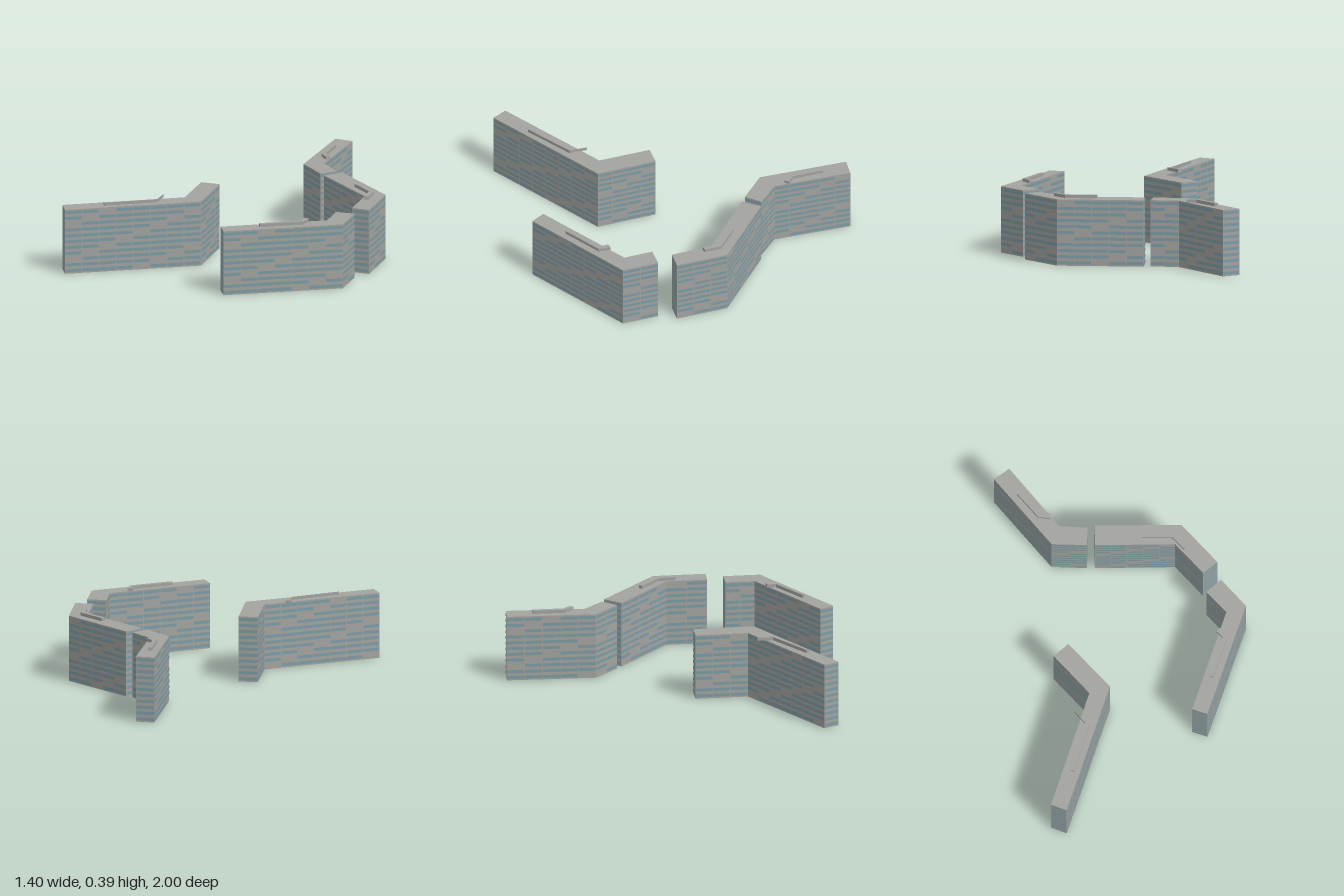
import * as THREE from 'three';
import { mergeGeometries } from 'three/addons/utils/BufferGeometryUtils.js';

const HEIGHT = 0.37, ROWS = 11, BAY = 0.095;

// Footprints as [x, z] corners of bent slabs, with the bent plant housing on each roof
const BLOCKS = [
  { name: 'backLeftBlock',
    plan: [[-0.37, -0.97], [-0.27, -1], [-0.12, -0.59], [0.025, -0.53], [-0.012, -0.435], [-0.195, -0.505]],
    roof: [[-0.28, -0.84], [-0.26, -0.85], [-0.195, -0.69], [-0.145, -0.67], [-0.155, -0.645], [-0.215, -0.675]] },
  { name: 'backRightBlock',
    plan: [[0.065, -0.53], [0.52, -0.375], [0.635, -0.105], [0.54, -0.07], [0.45, -0.28], [0.03, -0.42]],
    roof: [[0.29, -0.375], [0.30, -0.395], [0.465, -0.34], [0.505, -0.25], [0.485, -0.235], [0.445, -0.32]] },
  { name: 'frontRightBlock',
    plan: [[0.52, 0.04], [0.62, 0], [0.70, 0.19], [0.29, 0.72], [0.22, 0.665], [0.585, 0.19]],
    roof: [[0.375, 0.52], [0.39, 0.53], [0.54, 0.335], [0.52, 0.27], [0.495, 0.285], [0.515, 0.33]] },
  { name: 'frontLeftBlock', openRoof: true,
    plan: [[-0.40, 0.12], [-0.30, 0.08], [-0.165, 0.39], [-0.63, 1], [-0.70, 0.94], [-0.285, 0.39]],
    roof: [[-0.53, 0.79], [-0.515, 0.80], [-0.34, 0.56], [-0.375, 0.465], [-0.40, 0.475], [-0.367, 0.555]] },
];

// Upright prism over a footprint
function prism(plan, y, height) {
  const shape = new THREE.Shape(plan.map(([x, z]) => new THREE.Vector2(x, -z)));
  const g = new THREE.ExtrudeGeometry(shape, { depth: height, bevelEnabled: false });
  return g.rotateX(-Math.PI / 2).translate(0, y, 0);
}

// Keeps only the side walls of a prism
function wallsOnly(g) {
  const { start, count } = g.groups[1];
  const out = new THREE.BufferGeometry();
  for (const key of ['position', 'normal']) {
    const data = g.attributes[key].array.slice(start * 3, (start + count) * 3);
    out.setAttribute(key, new THREE.BufferAttribute(data, 3));
  }
  return out;
}

// Rows of window bands on every wall, with blank bays stepping diagonally
function windowBands(plan) {
  const panes = [];
  const pitch = HEIGHT / ROWS;
  plan.forEach(([bx, bz], k) => {
    // the footprint runs clockwise from above, so each wall reads from b's far corner to b
    const [ax, az] = plan[(k + 1) % plan.length];
    const dx = bx - ax, dz = bz - az, length = Math.hypot(dx, dz);
    const bays = Math.max(1, Math.round(length / BAY));
    const angle = Math.atan2(-dz, dx);
    const nx = -dz / length, nz = dx / length;
    for (let row = 0; row < ROWS; row++) {
      for (let bay = 0; bay < bays; bay++) {
        if (bays > 1 && (bay - row + k * 2 + 22) % 6 === 0) continue;
        const t = (bay + 0.5) / bays;
        panes.push(new THREE.PlaneGeometry(length / bays - 0.005, pitch * 0.5)
          .rotateY(angle)
          .translate(ax + dx * t + nx * 0.0015, (row + 0.5) * pitch, az + dz * t + nz * 0.0015));
      }
    }
  });
  return mergeGeometries(panes);
}

export function createModel() {
  const wall = new THREE.MeshStandardMaterial({ color: 0xa3a3a0 });
  wall.name = 'concreteGrey';
  const glass = new THREE.MeshStandardMaterial({ color: 0x7c9ca5 });
  glass.name = 'windowBlue';

  const model = new THREE.Group();
  model.name = 'apartmentBlocks';
  for (const { name, plan, roof, openRoof } of BLOCKS) {
    const block = new THREE.Group();
    block.name = name;
    const add = (part, geometry, material) => {
      const mesh = new THREE.Mesh(geometry, material);
      mesh.name = part;
      block.add(mesh);
    };
    add('walls', prism(plan, 0, HEIGHT), wall);
    add('windows', windowBands(plan), glass);
    const housing = prism(roof, HEIGHT, 0.018);
    add('roofHousing', openRoof ? wallsOnly(housing) : housing, wall);
    model.add(block);
  }
  return model;
}
